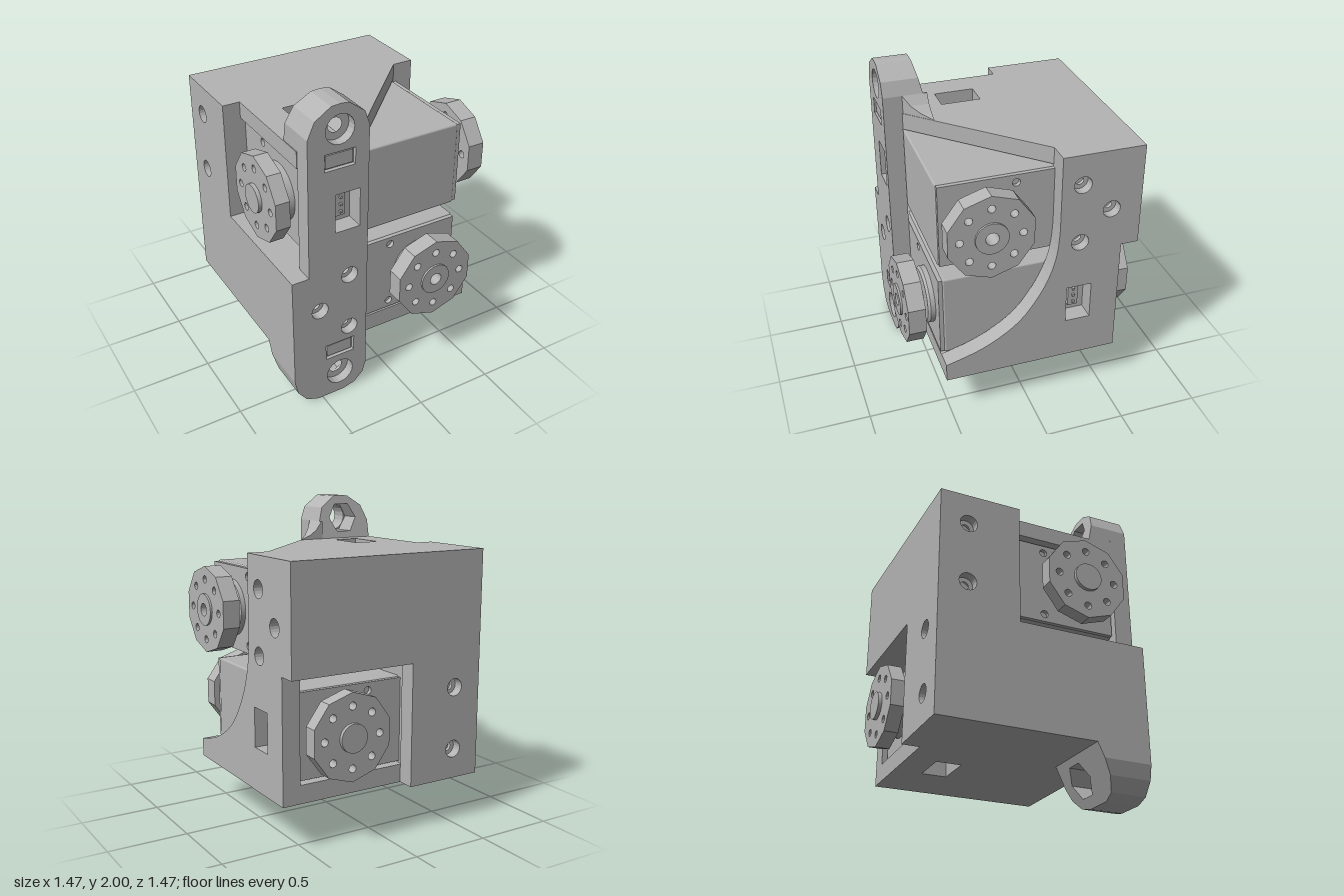
import * as THREE from 'three';
import { RoundedBoxGeometry } from 'three/addons/geometries/RoundedBoxGeometry.js';

const grey = new THREE.MeshStandardMaterial({ color: 0xb4b4b4 });
grey.name = 'plain grey';

// Outward direction of each side: rotation, and signs from world to panel coordinates
const SIDES = {
  front: { rot: [0, 0, 0], flip: [1, 1] },
  back: { rot: [0, Math.PI, 0], flip: [-1, 1] },
  left: { rot: [0, Math.PI / 2, 0], flip: [-1, 1] },
  right: { rot: [0, -Math.PI / 2, 0], flip: [1, 1] },
  top: { rot: [-Math.PI / 2, 0, 0], flip: [1, -1] },
  bottom: { rot: [Math.PI / 2, 0, 0], flip: [1, 1] },
};

function add(parent, name, geo, x = 0, y = 0, z = 0) {
  const mesh = new THREE.Mesh(geo, grey);
  mesh.name = name;
  mesh.position.set(x, y, z);
  parent.add(mesh);
  return mesh;
}

// Box given by its lower and upper limits
function block(parent, name, [x0, x1], [y0, y1], [z0, z1]) {
  return add(parent, name, new THREE.BoxGeometry(x1 - x0, y1 - y0, z1 - z0),
    (x0 + x1) / 2, (y0 + y1) / 2, (z0 + z1) / 2);
}

const polygon = (pts) => new THREE.Shape(pts.map((p) => new THREE.Vector2(...p)));
const rect = (x, y, w, h) => polygon([[x - w / 2, y - h / 2], [x + w / 2, y - h / 2], [x + w / 2, y + h / 2], [x - w / 2, y + h / 2]]);
const ngon = (x, y, r, n, start = 0) => polygon(Array.from({ length: n }, (_, i) => {
  const a = start + (i / n) * Math.PI * 2;
  return [x + r * Math.cos(a), y + r * Math.sin(a)];
}));

function extrude(shape, depth, holes = []) {
  shape.holes.push(...holes);
  return new THREE.ExtrudeGeometry(shape, { depth, bevelEnabled: false, curveSegments: 16 });
}

function disc(parent, name, r, z0, z1, sides = 32, rTop = r) {
  const geo = new THREE.CylinderGeometry(rTop, r, z1 - z0, sides);
  geo.rotateX(Math.PI / 2);
  return add(parent, name, geo, 0, 0, (z0 + z1) / 2);
}

// Wall panel with counterbored screw holes, an optional connector pocket and extra openings
function panel(parent, name, side, out, depth, pts, { screws = [], pocket, openings = [] } = {}) {
  const { rot, flip } = SIDES[side];
  const loc = ([a, b]) => [a * flip[0], b * flip[1]];
  const group = new THREE.Group();
  group.name = name;
  group.rotation.set(...rot);
  parent.add(group);
  const holes = [...openings];
  for (const s of screws) {
    const [x, y] = loc(s), r = s[2] ?? 0.055;
    holes.push(ngon(x, y, r, 20));
    add(group, 'screwSeat', new THREE.RingGeometry(r * 0.48, r, 20), x, y, out - 0.06);
  }
  if (pocket) {
    const [x, y] = loc(pocket), tall = pocket[2];
    holes.push(tall ? rect(x, y, 0.16, 0.25) : rect(x, y, 0.25, 0.16));
    const bed = out - depth;
    const plug = (w, h, d, n, o) => add(group, n, new THREE.BoxGeometry(tall ? w : h, tall ? h : w, d),
      x + (tall ? 0 : o), y + (tall ? o : 0), bed + d / 2);
    plug(0.065, 0.155, 0.03, 'connector', 0);
    for (const o of [-0.048, 0, 0.048]) plug(0.015, 0.015, 0.045, 'connectorPin', o);
  }
  add(group, name + 'Plate', extrude(polygon(pts.map(loc)), depth, holes), 0, 0, out - depth);
}

// Servo with its shaft along z; the short end of the body points to +x
function makeServo(name) {
  const servo = new THREE.Group();
  servo.name = name;
  const u0 = -0.56, u1 = 0.265, h = 0.545, mid = (u0 + u1) / 2;
  add(servo, 'servoBody', new RoundedBoxGeometry(u1 - u0, h, 1.03, 2, 0.012), mid, 0, -0.01);
  const screwHoles = () => [-0.215, 0.215].map((v) => ngon(-0.21, v, 0.025, 14));
  for (const z of [0.49, -0.55]) {
    add(servo, 'servoEndPlate', extrude(rect(mid, 0, u1 - u0 - 0.015, h - 0.015), 0.04, screwHoles()), 0, 0, z);
  }
  // Output side
  disc(servo, 'shaftBoss', 0.18, 0.52, 0.56);
  disc(servo, 'shaftBossEdge', 0.18, 0.56, 0.575, 32, 0.165);
  disc(servo, 'splineShaft', 0.07, 0.57, 0.6, 24);
  disc(servo, 'splineCollar', 0.12, 0.592, 0.612);
  // Idle side
  disc(servo, 'idlerBoss', 0.18, -0.605, -0.54);
  disc(servo, 'idlerBossEdge', 0.165, -0.62, -0.605, 32, 0.18);
  disc(servo, 'idlerCap', 0.088, -0.735, -0.6);
  // Ten-sided horns with a ring of eight holes
  const ringHoles = () => Array.from({ length: 8 }, (_, i) =>
    ngon(0.188 * Math.cos(i * Math.PI / 4), 0.188 * Math.sin(i * Math.PI / 4), 0.024, 14));
  const horn = () => ngon(0, 0, 0.27, 10, Math.PI / 2);
  add(servo, 'outputHorn', extrude(horn(), 0.108, [...ringHoles(), ngon(0, 0, 0.04, 18)]), 0, 0, 0.61);
  add(servo, 'outputHub', extrude(ngon(0, 0, 0.1, 28), 0.013, [ngon(0, 0, 0.04, 18)]), 0, 0, 0.718);
  add(servo, 'idlerHorn', extrude(horn(), 0.09, ringHoles()), 0, 0, -0.712);
  return servo;
}

// Bolt tab whose back face is sloped by a rule, with a hexagonal nut pocket
function boltTab(parent, name, pts, cy, backZ) {
  const geo = extrude(polygon(pts), 1, [ngon(-0.375, cy, 0.105, 6)]);
  const pos = geo.attributes.position;
  for (let i = 0; i < pos.count; i++) pos.setZ(i, pos.getZ(i) > 0.5 ? 0.535 : backZ(pos.getY(i)));
  geo.computeVertexNormals();
  add(parent, name, geo);
}

export function createModel() {
  const model = new THREE.Group();
  model.name = 'twoAxisServoBracket';
  const bracket = new THREE.Group();
  bracket.name = 'bracket';
  model.add(bracket);

  // Solid inside of the bracket
  block(bracket, 'upperCore', [-0.58, 0.53], [1.06, 1.61], [-0.58, -0.18]);
  block(bracket, 'lowerCore', [-0.58, -0.19], [0.405, 0.945], [-0.58, 0.53]);
  block(bracket, 'coreColumn', [-0.58, -0.19], [0.9, 1.1], [-0.58, -0.18]);

  // Left wall with the sweeping cut
  const sweep = new THREE.SplineCurve([[0.53, 0.41], [0.37, 0.455], [0.25, 0.505], [0.12, 0.585], [0.02, 0.68],
    [-0.08, 0.83], [-0.14, 0.97], [-0.17, 1.1], [-0.18, 1.24]].map((p) => new THREE.Vector2(...p)));
  panel(bracket, 'leftWall', 'left', 0.645, 0.115,
    [[-0.69, 1.715], [-0.69, 1.06], [-0.58, 1.06], [-0.58, 0.29], [0.53, 0.29],
      ...sweep.getPoints(20).map((p) => [p.x, p.y]), [-0.18, 1.715]],
    { screws: [[-0.31, 1.52], [-0.31, 1.13], [-0.5, 1.325]], pocket: [-0.32, 0.685, true] });
  block(bracket, 'leftPocketBed', [0.5, 0.53], [0.5, 0.87], [-0.45, -0.19]);

  // Right, back, top and bottom walls
  panel(bracket, 'rightWall', 'right', 0.69, 0.11,
    [[-0.69, 0.29], [0.53, 0.29], [0.53, 0.945], [-0.18, 0.945], [-0.18, 1.715], [-0.69, 1.715]],
    { screws: [[-0.51, 1.52], [-0.51, 1.13]] });
  panel(bracket, 'backWall', 'back', 0.69, 0.11,
    [[-0.69, 0.29], [-0.18, 0.29], [-0.18, 1.06], [0.645, 1.06], [0.645, 1.715], [-0.69, 1.715]],
    { screws: [[-0.5, 0.875], [-0.5, 0.48]] });
  panel(bracket, 'topWall', 'top', 1.715, 0.105,
    [[-0.69, -0.69], [0.645, -0.69], [0.645, -0.18], [0.51, -0.18], [-0.19, 0.53], [-0.58, 0.53], [-0.58, -0.18], [-0.69, -0.18]],
    { pocket: [-0.32, 0.145, true] });
  panel(bracket, 'bottomWall', 'bottom', -0.29, 0.115,
    [[-0.69, -0.69], [-0.18, -0.69], [-0.18, -0.58], [0.645, -0.58], [0.645, 0.53], [-0.69, 0.53]],
    { pocket: [0.145, -0.32, false] });

  // Front mounting flange
  const topEnd = [[-0.19, 1.83], [-0.22, 1.92], [-0.32, 1.995], [-0.375, 2], [-0.43, 1.995], [-0.53, 1.93], [-0.575, 1.83]];
  const lowEnd = [[-0.69, 0.2], [-0.67, 0.11], [-0.61, 0.03], [-0.53, 0], [-0.35, 0], [-0.27, 0.02], [-0.21, 0.08], [-0.19, 0.15]];
  panel(bracket, 'frontFlange', 'front', 0.645, 0.115,
    [...topEnd, [-0.58, 0.945], [-0.69, 0.945], ...lowEnd],
    {
      screws: [[-0.31, 0.875], [-0.51, 0.685], [-0.31, 0.49], [-0.375, 1.85, 0.09], [-0.375, 0.155, 0.09]],
      pocket: [-0.325, 1.325, true],
      openings: [rect(-0.375, 1.665, 0.195, 0.105), rect(-0.375, 0.345, 0.195, 0.105)],
    });
  for (const y of [1.665, 0.345]) {
    block(bracket, 'slotBed', [-0.48, -0.27], [y - 0.056, y + 0.056], [0.5, 0.62]);
    block(bracket, 'slotInsert', [-0.46, -0.29], [y - 0.04, y + 0.04], [0.6, 0.635]);
  }

  // Bolt tabs behind the ends of the flange
  boltTab(bracket, 'upperBoltTab', [...topEnd, [-0.575, 1.7], [-0.19, 1.7]], 1.85,
    (y) => 0.37 + 0.06 * Math.min(1, (y - 1.7) / 0.3));
  boltTab(bracket, 'lowerBoltTab', [...lowEnd, [-0.19, 0.3], [-0.69, 0.3]], 0.155,
    (y) => 0.43 - 0.13 * (y / 0.28));

  // Curved fillet from the upper tab down to the diagonal edge of the top wall
  const fillet = extrude(polygon([[-0.2, 1.7], [-0.035, 1.7], [-0.035, 1.716], [-0.1, 1.74], [-0.15, 1.775], [-0.19, 1.83], [-0.2, 1.83]]), 1);
  const fp = fillet.attributes.position;
  for (let i = 0; i < fp.count; i++) fp.setZ(i, fp.getZ(i) > 0.5 ? 0.335 - fp.getX(i) : 0.37);
  fillet.computeVertexNormals();
  add(bracket, 'tabFillet', fillet);

  // Lower servo faces the front, upper servo faces the left
  const lower = makeServo('lowerServo');
  lower.position.set(0.258, 0.683, 0);
  const upper = makeServo('upperServo');
  upper.quaternion.setFromRotationMatrix(new THREE.Matrix4().makeBasis(
    new THREE.Vector3(0, 0, 1), new THREE.Vector3(0, -1, 0), new THREE.Vector3(1, 0, 0)));
  upper.position.set(0, 1.328, 0.262);
  model.add(lower, upper);
  return model;
}
